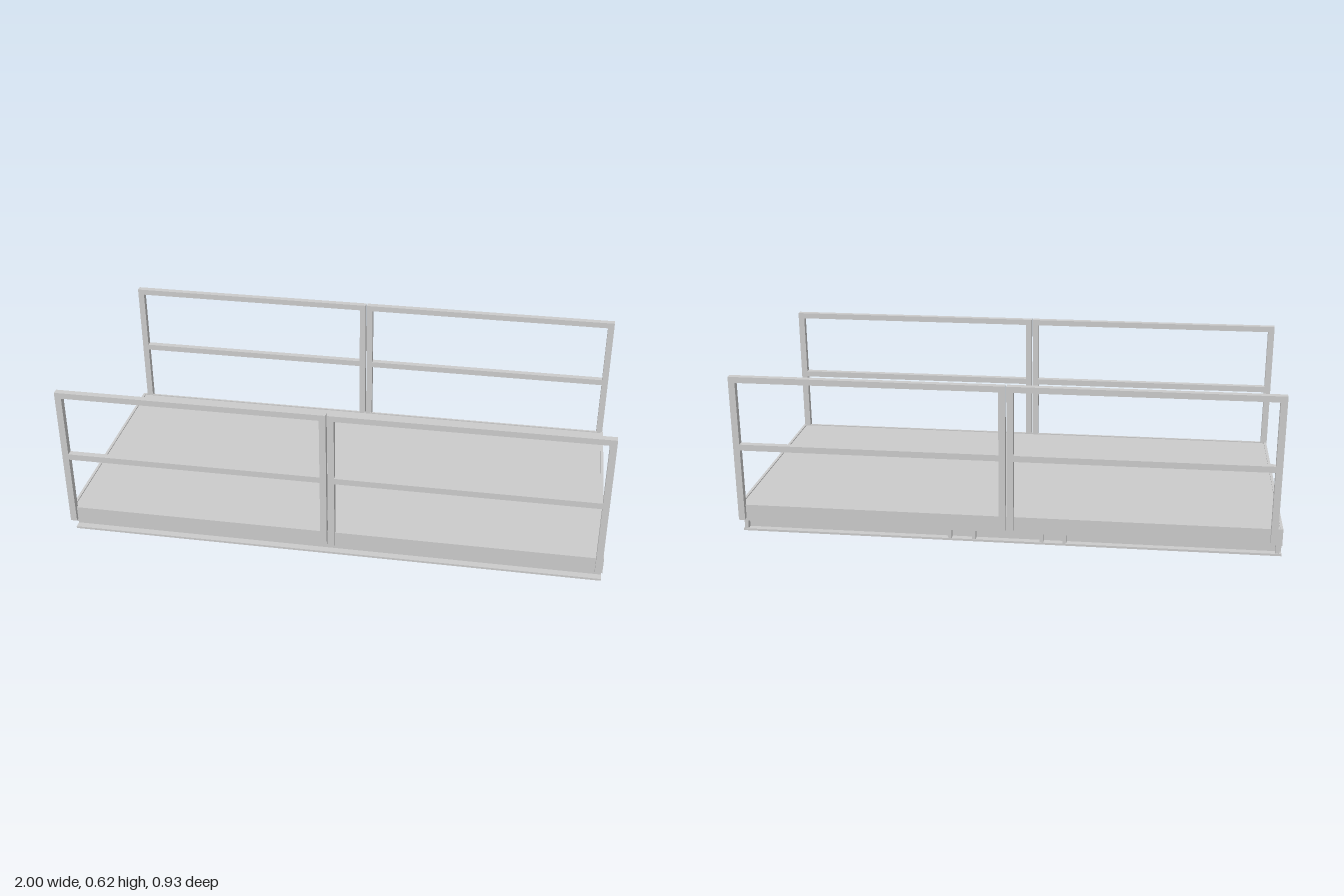
import * as THREE from 'three';

const material = new THREE.MeshStandardMaterial({ color: 0xcccccc, flatShading: true, side: THREE.DoubleSide });

function box(name, x0, x1, y0, y1, z0, z1) {
  const mesh = new THREE.Mesh(new THREE.BoxGeometry(x1 - x0, y1 - y0, z1 - z0), material);
  mesh.position.set((x0 + x1) / 2, (y0 + y1) / 2, (z0 + z1) / 2);
  mesh.name = name;
  return mesh;
}

// C-section beam between two plan points [x, z]; the web lies on that line,
// and the flanges point towards +x when the beam runs along +z.
function channel(name, from, to, y0, y1, flange, t = 0.008) {
  const h = y1 - y0;
  const points = [[0, 0], [flange, 0], [flange, t], [t, t], [t, h - t], [flange, h - t], [flange, h], [0, h]];
  const shape = new THREE.Shape(points.map(([x, y]) => new THREE.Vector2(x, y)));
  const dx = to[0] - from[0], dz = to[1] - from[1];
  const geometry = new THREE.ExtrudeGeometry(shape, { depth: Math.hypot(dx, dz), bevelEnabled: false });
  const mesh = new THREE.Mesh(geometry, material);
  mesh.position.set(from[0], y0, from[1]);
  mesh.rotation.y = Math.atan2(dx, dz);
  mesh.name = name;
  return mesh;
}

// Railing panel: two posts, a top rail and a middle rail of square tube
function railing(x0, x1, z0, z1) {
  const group = new THREE.Group();
  group.name = 'railingPanel';
  const tube = 0.024;
  for (const x of [x0, x1 - tube]) group.add(box('railingPost', x, x + tube, 0.07, 0.601, z0, z1));
  group.add(box('topRail', x0, x1, 0.601, 0.623, z0, z1));
  group.add(box('middleRail', x0 + tube, x1 - tube, 0.343, 0.366, z0, z1));
  return group;
}

export function createModel() {
  const model = new THREE.Group();
  model.name = 'railedPlatform';

  // Deck slab with a slightly raised rim
  const deckBack = -0.45, deckFront = 0.453;
  model.add(box('deck', -0.986, 0.986, 0.059, 0.118, deckBack, deckFront));
  for (const x of [-0.991, 0.991]) model.add(box('deckEnd', x - 0.005, x + 0.005, 0.059, 0.122, deckBack, deckFront));
  model.add(box('deckEdge', -0.986, 0.986, 0.118, 0.122, deckFront - 0.008, deckFront));
  model.add(box('deckEdge', -0.986, 0.986, 0.118, 0.122, deckBack, deckBack + 0.008));

  // Long side channels, open outwards
  const zFront = 0.385, zBack = -0.379;
  model.add(channel('frontSideChannel', [0.996, zFront], [-1, zFront], 0, 0.06, 0.035));
  model.add(channel('backSideChannel', [-1, zBack], [0.996, zBack], 0, 0.06, 0.032));

  // End channels, open outwards, top flange set into the deck
  model.add(channel('endChannel', [0.95, zBack], [0.95, zFront], 0.01, 0.067, 0.035));
  model.add(channel('endChannel', [-0.95, zFront], [-0.95, zBack], 0.01, 0.067, 0.035));

  // Two middle cross beams, webs facing each other
  model.add(channel('crossBeam', [0.13, zBack], [0.13, zFront], 0.01, 0.06, 0.035));
  model.add(channel('crossBeam', [-0.125, zFront], [-0.125, zBack], 0.01, 0.06, 0.035));

  // Diagonal braces under the deck
  for (const s of [1, -1]) {
    const dx = 0.58 * s, dz = zFront - zBack - 0.02;
    const half = Math.hypot(dx, dz) / 2;
    const brace = box('diagonalBrace', -half, half, 0.015, 0.06, -0.012, 0.012);
    brace.position.x = s * 0.53;
    brace.position.z = 0.003;
    brace.rotation.y = Math.atan2(-dz, dx);
    model.add(brace);
  }

  // Stiffener blocks inside the back side channel
  for (const x of [-0.985, -0.215, -0.13, 0.12, 0.21, 0.985]) {
    model.add(box('stiffener', x - 0.007, x + 0.007, 0.007, 0.053, -0.408, -0.384));
  }

  // Railings along the front and back edges
  model.add(railing(-0.998, -0.008, 0.443, 0.467));
  model.add(railing(-0.003, 0.992, 0.443, 0.467));
  model.add(railing(-0.977, -0.01, -0.467, -0.443));
  model.add(railing(-0.005, 0.992, -0.467, -0.443));

  return model;
}
